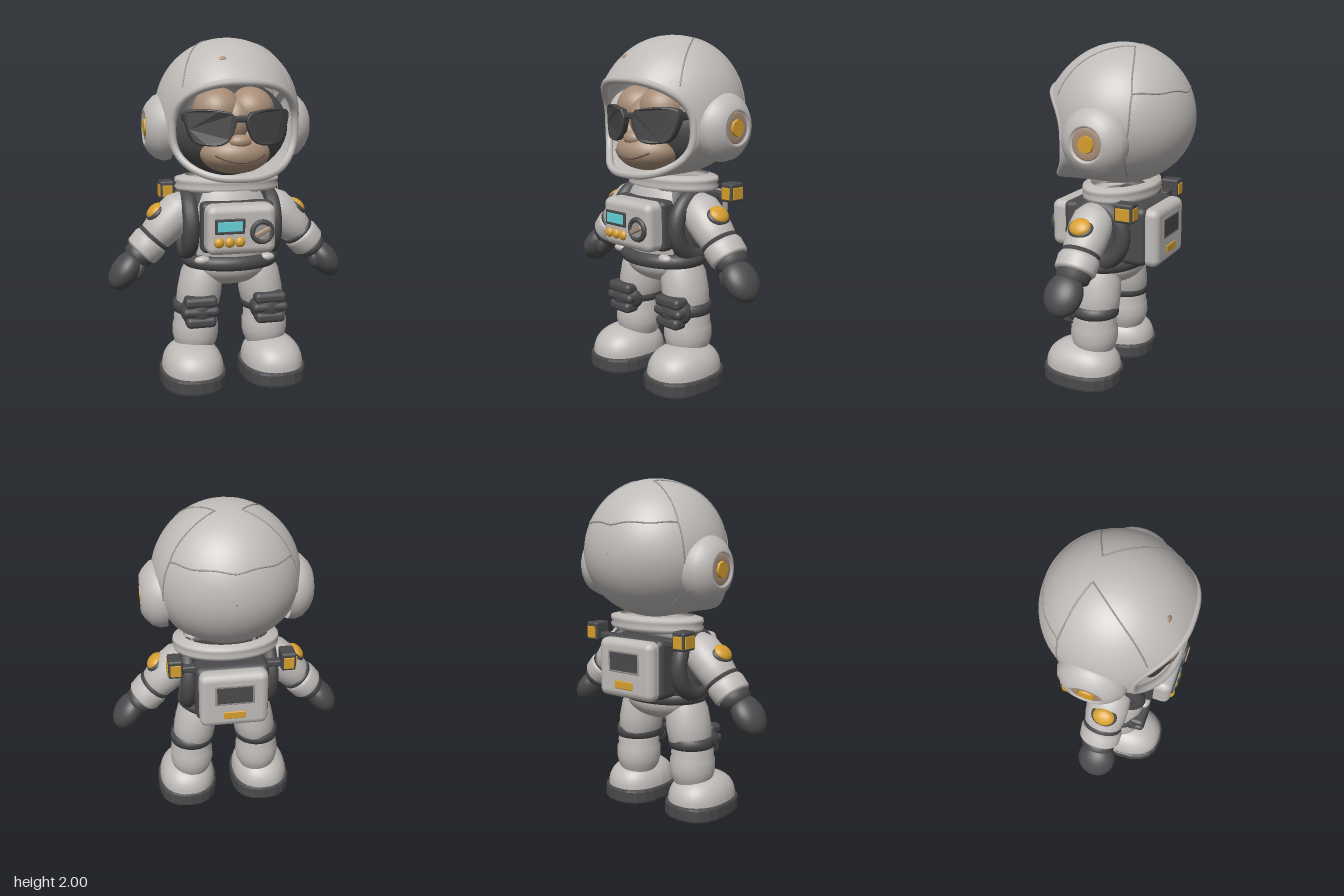
import * as THREE from 'three';
import { RoundedBoxGeometry } from 'three/addons/geometries/RoundedBoxGeometry.js';
import { ParametricGeometry } from 'three/addons/geometries/ParametricGeometry.js';

const material = (name, color, side = THREE.FrontSide) => {
  const m = new THREE.MeshStandardMaterial({ color, side });
  m.name = name;
  return m;
};
const V = (x, y, z) => new THREE.Vector3(x, y, z);

export function createModel() {
  const suit = material('suit grey', 0xbfbbb8, THREE.DoubleSide);
  const rubber = material('dark rubber', 0x4a4a4c);
  const black = material('sunglasses black', 0x434345);
  const skin = material('tan skin', 0xa78d77);
  const yellow = material('signal yellow', 0xd69f2e);
  const cyan = material('screen cyan', 0x66d2da);
  const seamMat = material('seam grey', 0x999592);
  const mouthMat = material('mouth brown', 0x6a5342);

  const model = new THREE.Group();
  const add = (name, geo, mat, pos = [0, 0, 0], rot = [0, 0, 0], scale = [1, 1, 1]) => {
    const m = new THREE.Mesh(geo, mat);
    m.name = name;
    m.position.set(...pos);
    m.rotation.set(...rot);
    m.scale.set(...scale);
    model.add(m);
    return m;
  };
  const ball = (name, mat, pos, radii, rot) =>
    add(name, new THREE.SphereGeometry(1, 32, 20), mat, pos, rot, radii);
  const box = (name, mat, pos, [w, h, d], r = 0.01, rot) =>
    add(name, new RoundedBoxGeometry(w, h, d, 2, r), mat, pos, rot);
  const lathe = (pts, start = 0, sweep = Math.PI * 2) =>
    new THREE.LatheGeometry(pts.map(p => new THREE.Vector2(...p)), 36, start, sweep);
  const tube = (name, mat, pts, r, closed = false) =>
    add(name, new THREE.TubeGeometry(new THREE.CatmullRomCurve3(pts, closed), pts.length * 6, r, 8, closed), mat);
  // Turned part whose profile runs along a direction, optionally deeper in z
  const along = (name, pts, mat, pos, dir, depth = 1) => {
    const m = add(name, lathe(pts), mat, pos, [0, 0, 0], [1, 1, depth]);
    m.quaternion.setFromUnitVectors(V(0, 1, 0), dir.clone().normalize());
  };
  const spow = (v, p) => Math.sign(v) * Math.abs(v) ** p;

  // Helmet: round back, then swept forward to a visor edge that dips back at the sides
  const hx = 0.01, hy = 1.58;
  const edge = (a, grow = 0) => {
    const c = Math.cos(a), s = Math.sin(a);
    const z = s > 0 ? 0.195 + 0.195 * s ** 2 : 0.195 + 0.165 * Math.abs(s) ** 2.5;
    return V(hx + (0.355 + grow) * spow(c, 0.8), 1.49 + (0.262 + grow) * spow(s, 0.8), z);
  };
  const shell = (u, v, target) => {
    const a = u * Math.PI * 2, w = 0.003 + 0.997 * v;
    const ex = 0.42 * Math.cos(a), ey = Math.sin(a) * (Math.sin(a) > 0 ? 0.42 : 0.38);
    if (w < 0.6) {
      const t = w / 0.6 * Math.PI / 2;
      target.set(hx + ex * Math.sin(t), hy + ey * Math.sin(t), -0.42 * Math.cos(t));
    } else {
      const t = (w - 0.6) / 0.4, f = edge(a, 0.02), k = (1 - t) ** 2 + 2 * t * (1 - t);
      target.set((hx + ex) * k + f.x * t * t, (hy + ey) * k + f.y * t * t,
        f.z * (2 * t * (1 - t) * 0.6 + t * t));
    }
    return target;
  };
  add('helmetShell', new ParametricGeometry(shell, 64, 40), suit);
  tube('visorRim', suit, Array.from({ length: 40 }, (_, i) => edge(i / 40 * Math.PI * 2)), 0.022, true);

  // Helmet seams, given as angle in degrees and position along the shell
  const seam = pts => {
    const path = new THREE.CatmullRomCurve3(pts.map(([deg, v]) => V(deg / 360, v, 0)));
    tube('helmetSeam', seamMat, path.getPoints(20).map(p => shell(p.x, p.y, V(0, 0, 0))), 0.0045);
  };
  seam([[28, 0.4], [43, 0.24], [90, 0.145], [137, 0.24], [152, 0.4]]);
  for (const flip of [d => d, d => 180 - d]) {
    const side = pts => seam(pts.map(([d, v]) => [flip(d), v]));
    side([[28, 0.4], [60, 0.45], [80, 0.5]]);
    side([[80, 0.5], [61, 0.67], [40, 0.96]]);
    side([[28, 0.4], [0, 0.4], [-38, 0.45], [-55, 0.47]]);
  }
  ball('helmetSpot', skin, shell(101 / 360, 0.885, V(0, 0, 0)).toArray(), [0.02, 0.014, 0.006], [-0.75, 0, 0]);

  // Ear cups
  for (const s of [-1, 1]) {
    const out = V(s, 0, 0), x = hx + s * 0.34;
    along('earCup', [[0.19, 0], [0.195, 0.04], [0.18, 0.085], [0.14, 0.125], [0.105, 0.145], [0.092, 0.145], [0.088, 0.13], [0, 0.13]],
      suit, [x, 1.495, -0.015], out);
    along('earCupRing', [[0.088, 0.13], [0.08, 0.138], [0.055, 0.136], [0, 0.134]], skin, [x, 1.495, -0.015], out);
    add('earCupLight', new THREE.CylinderGeometry(0.046, 0.052, 0.02, 8), yellow,
      [x + s * 0.138, 1.495, -0.015], [0, 0, -s * Math.PI / 2]);
  }

  // Head and face
  ball('furHead', rubber, [hx, 1.49, 0], [0.365, 0.285, 0.27]);
  for (const s of [-1, 1]) {
    ball('brow', skin, [hx + s * 0.095, 1.595, 0.16], [0.14, 0.13, 0.15]);
    ball('cheek', skin, [hx + s * 0.09, 1.45, 0.16], [0.1, 0.1, 0.15]);
  }
  ball('noseBridge', skin, [hx, 1.54, 0.2], [0.1, 0.13, 0.115]);
  ball('muzzle', skin, [hx, 1.355, 0.2], [0.2, 0.115, 0.17]);
  ball('nose', skin, [hx, 1.43, 0.315], [0.065, 0.04, 0.045]);
  tube('smile', mouthMat, [-0.14, -0.1, -0.05, 0, 0.05, 0.1, 0.14].map(x => {
    const y = 1.318 + 2 * x * x;
    return V(hx + x, y, 0.2 + 0.17 * Math.sqrt(1 - (x / 0.2) ** 2 - ((y - 1.355) / 0.115) ** 2));
  }), 0.005);

  // Sunglasses, wrapped back towards the temples
  for (const s of [-1, 1]) {
    const pts = [[0.06, 1.583], [0.17, 1.6], [0.265, 1.597], [0.292, 1.572], [0.277, 1.5], [0.245, 1.435],
      [0.185, 1.417], [0.11, 1.42], [0.065, 1.455], [0.035, 1.54], [0.06, 1.583]].map(p => new THREE.Vector2(p[0] * s, p[1]));
    const shape = new THREE.Shape().moveTo(pts[0].x, pts[0].y).splineThru(pts.slice(1));
    const geo = new THREE.ExtrudeGeometry(shape,
      { depth: 0.025, bevelThickness: 0.01, bevelSize: 0.008, bevelSegments: 3, curveSegments: 30 });
    const p = geo.attributes.position;
    for (let i = 0; i < p.count; i++) p.setZ(i, p.getZ(i) + 0.325 - 1.2 * p.getX(i) ** 2);
    geo.computeVertexNormals();
    add('lens', geo, black, [hx, 0, 0]);
    box('templeArm', black, [hx + s * 0.287, 1.56, 0.18], [0.02, 0.045, 0.13]);
  }
  box('glassesBridge', black, [hx, 1.555, 0.34], [0.12, 0.035, 0.03]);

  // Collar, torso, vest and belt
  add('collar', lathe([[0.25, 1.12], [0.305, 1.13], [0.315, 1.15], [0.3, 1.165], [0.315, 1.18], [0.31, 1.2], [0.25, 1.215]]),
    suit, [hx, 0, 0.005], [0, 0, 0], [1, 1, 0.67]);
  const body = [[0.2, 0.68], [0.25, 0.71], [0.265, 0.8], [0.265, 0.95], [0.25, 1.05], [0.2, 1.14]];
  const bodyScale = [1, 1, 0.75];
  add('torso', lathe(body), suit, [0, 0, 0.07], [0, 0, 0], bodyScale);
  add('vest', lathe(body.map(([r, y]) => [r + 0.012, y]), 0.9, Math.PI * 2 - 1.8), rubber, [0, 0, 0.07], [0, 0, 0], bodyScale);
  ball('pelvis', suit, [0.005, 0.7, 0.075], [0.245, 0.13, 0.2]);
  add('belt', new THREE.TorusGeometry(0.25, 0.042, 12, 40), rubber, [0.01, 0.73, 0.085], [Math.PI / 2, 0, 0], [1, 0.78, 1]);

  // Chest unit
  box('chestBase', rubber, [0.01, 0.945, 0.24], [0.42, 0.29, 0.1], 0.03);
  box('chestBox', suit, [0.01, 0.945, 0.29], [0.395, 0.28, 0.19], 0.045);
  box('screenFrame', rubber, [-0.063, 0.972, 0.386], [0.17, 0.086, 0.014], 0.006);
  box('screen', cyan, [-0.063, 0.972, 0.392], [0.14, 0.056, 0.008], 0.003);
  for (let i = 0; i < 3; i++) ball('button', yellow, [-0.125 + i * 0.06, 0.882, 0.382], [0.029, 0.029, 0.022]);
  add('knobRing', new THREE.TorusGeometry(0.056, 0.015, 10, 28), rubber, [0.12, 0.935, 0.388]);
  add('knobFace', new THREE.CylinderGeometry(0.05, 0.05, 0.02, 24), seamMat, [0.12, 0.935, 0.383], [Math.PI / 2, 0, 0]);
  box('knobHandle', skin, [0.12, 0.935, 0.397], [0.1, 0.028, 0.024], 0.008, [0, 0, 0.45]);

  // Backpack
  box('backpackBase', rubber, [0, 0.925, -0.15], [0.43, 0.35, 0.17], 0.04);
  box('backpackShell', suit, [0, 0.92, -0.25], [0.4, 0.345, 0.11], 0.045);
  box('backpackPanel', seamMat, [0, 0.965, -0.301], [0.23, 0.13, 0.014], 0.006);
  box('backpackScreen', rubber, [0, 0.965, -0.306], [0.205, 0.105, 0.009], 0.003);
  box('backpackBar', yellow, [0, 0.83, -0.302], [0.13, 0.048, 0.018], 0.006);

  // Paired parts
  for (const s of [-1, 1]) {
    // Shoulder strap, thruster and belt clip
    add('shoulderStrap', new THREE.TorusGeometry(0.15, 0.047, 12, 36), rubber,
      [s * 0.245, 0.93, 0.05], [0, Math.PI / 2, 0], [1.05, 1.12, 1]);
    box('thrusterArm', rubber, [s * 0.27, 1.08, -0.165], [0.13, 0.04, 0.05]);
    box('thruster', rubber, [s * 0.325, 1.105, -0.17], [0.085, 0.11, 0.11], 0.012);
    box('thrusterLightFront', yellow, [s * 0.325, 1.1, -0.114], [0.06, 0.07, 0.009], 0.003);
    box('thrusterLightBack', yellow, [s * 0.325, 1.1, -0.226], [0.06, 0.07, 0.009], 0.003);
    box('thrusterLightSide', yellow, [s * 0.369, 1.1, -0.17], [0.009, 0.07, 0.085], 0.003);
    ball('beltClip', suit, [s * 0.19, 0.755, 0.245], [0.045, 0.024, 0.03]);

    // Arm
    const d = V(s * 0.68, -0.73, 0), root = [s * 0.27, 1.04, 0.055];
    along('sleeve', [[0, -0.07], [0.07, -0.05], [0.105, 0.01], [0.112, 0.09], [0.108, 0.17], [0.1, 0.23], [0.085, 0.25]],
      suit, root, d, 1.13);
    along('sleeveBand', [[0.08, 0.23], [0.101, 0.235], [0.101, 0.258], [0.08, 0.265]], rubber, root, d, 1.13);
    along('cuff', [[0.08, 0.25], [0.1, 0.258], [0.108, 0.28], [0.105, 0.345], [0.095, 0.36], [0.06, 0.365]],
      suit, root, d, 1.15);
    along('gloveCuff', [[0.07, 0.34], [0.09, 0.36], [0.085, 0.4], [0.06, 0.42]], rubber, root, d, 1.15);
    ball('glove', rubber, [s * 0.607, 0.68, 0.07], [0.08, 0.128, 0.113], [0, 0, s * 0.64]);
    ball('thumb', rubber, [s * 0.53, 0.685, 0.11], [0.033, 0.06, 0.04], [0, 0, s * 0.2]);
    ball('patchRing', rubber, [s * 0.425, 1.01, 0.06], [0.027, 0.066, 0.077], [0, 0, s * 0.82]);
    ball('patch', yellow, [s * 0.431, 1.018, 0.06], [0.033, 0.056, 0.065], [0, 0, s * 0.82]);

    // Leg
    const x = 0.01 + s * 0.213, knee = 0.01 + s * 0.207, up = V(0, 1, 0);
    along('thigh', [[0.1, 0], [0.125, 0.03], [0.13, 0.12], [0.125, 0.22], [0.1, 0.3]], suit, [knee, 0.42, 0.085], V(-s * 0.17, 1, 0), 1.12);
    along('shin', [[0.1, 0.18], [0.125, 0.23], [0.136, 0.28], [0.134, 0.34], [0.125, 0.365], [0.128, 0.385], [0.118, 0.44]],
      suit, [x, 0, 0.09], up, 1.06);
    along('kneeBand', [[0.11, 0.415], [0.134, 0.42], [0.138, 0.45], [0.134, 0.48], [0.11, 0.485]], rubber, [knee, 0, 0.085], up, 1.04);
    ball('kneePad', rubber, [knee, 0.445, 0.185], [0.112, 0.1, 0.085]);
    for (const [y, w, h] of [[0.505, 0.19, 0.064], [0.447, 0.215, 0.054], [0.386, 0.175, 0.064]])
      box('kneeRidge', rubber, [knee, y, 0.22], [w, h, 0.1], 0.025);

    // Boot
    const bootX = 0.01 + s * 0.243;
    const outline = new THREE.Shape(Array.from({ length: 20 }, (_, i) => {
      const a = i / 20 * Math.PI * 2;
      return new THREE.Vector2(0.18 * spow(Math.cos(a), 0.8), 0.232 * spow(Math.sin(a), 0.8));
    }));
    const sole = new THREE.ExtrudeGeometry(outline, { depth: 0.06, bevelThickness: 0.015, bevelSize: 0.012, bevelSegments: 2 });
    add('sole', sole, rubber, [bootX, 0.015, 0.15], [-Math.PI / 2, 0, 0]);
    const dome = new THREE.SphereGeometry(1, 32, 14, 0, Math.PI * 2, 0, Math.PI / 2);
    const p = dome.attributes.position;
    for (let i = 0; i < p.count; i++)
      p.setXYZ(i, 0.178 * spow(p.getX(i), 0.88), 0.165 * Math.max(p.getY(i), 0) ** 0.85, 0.232 * spow(p.getZ(i), 0.88));
    dome.computeVertexNormals();
    add('boot', dome, suit, [bootX, 0.085, 0.15]);
  }
  return model;
}
